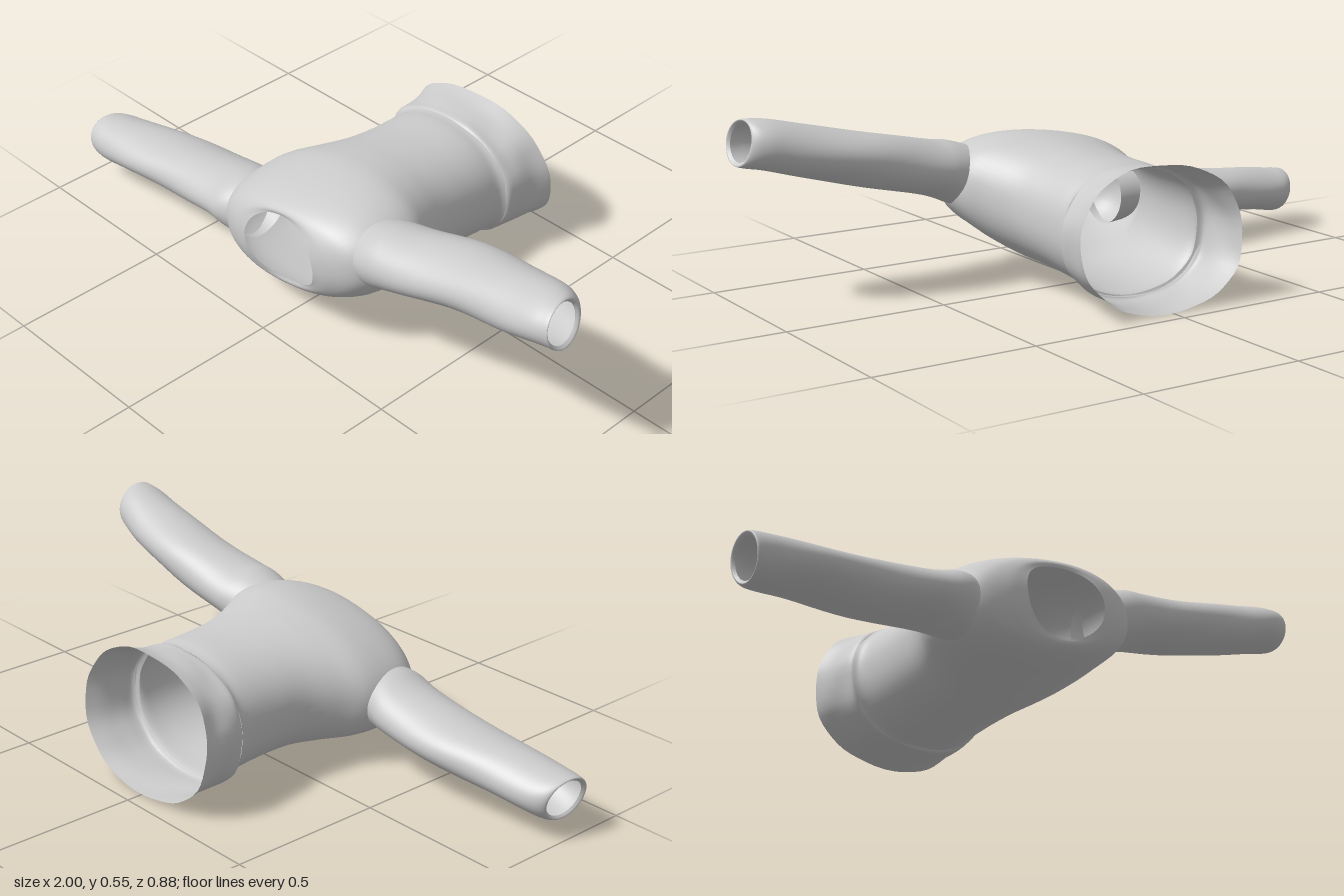
import * as THREE from 'three';

const material = new THREE.MeshStandardMaterial({ color: 0xcccccc, side: THREE.DoubleSide });
const SIDES = 56;

// Smooth interpolation through rows of section values
function sample(rows, t) {
  const f = t * (rows.length - 1);
  const i = Math.min(Math.floor(f), rows.length - 2);
  const u = f - i;
  const row = k => rows[Math.max(0, Math.min(rows.length - 1, k))];
  return rows[i].map((b, c) => {
    const a = row(i - 1)[c], d = row(i + 1)[c], e = row(i + 2)[c];
    return b + 0.5 * u * (d - a + u * (2 * a - 5 * b + 4 * d - e + u * (3 * (b - d) + e - a)));
  });
}

// Open tube: place(section, angle) gives one point of a ring
function loft(name, rows, steps, place) {
  const positions = [], index = [];
  const rings = (rows.length - 1) * steps;
  for (let i = 0; i <= rings; i++) {
    const section = sample(rows, i / rings);
    for (let j = 0; j < SIDES; j++) {
      positions.push(...place(section, (j / SIDES) * Math.PI * 2));
      if (i === rings) continue;
      const a = i * SIDES + j, b = i * SIDES + (j + 1) % SIDES;
      index.push(a, b, a + SIDES, b, b + SIDES, a + SIDES);
    }
  }
  const geometry = new THREE.BufferGeometry();
  geometry.setAttribute('position', new THREE.Float32BufferAttribute(positions, 3));
  geometry.setIndex(index);
  geometry.computeVertexNormals();
  const mesh = new THREE.Mesh(geometry, material);
  mesh.name = name;
  return mesh;
}

const soft = v => Math.sign(v) * Math.abs(v) ** 0.9;

// Torso ring: z, centre x, centre y, half width, half height, roll, z lean, rim dip
function torsoPoint([z, cx, cy, rx, ry, roll, lean, dip], a) {
  const u = rx * soft(Math.cos(a)), v = ry * soft(Math.sin(a));
  const y = u * Math.sin(roll) + v * Math.cos(roll);
  return [
    cx + u * Math.cos(roll) - v * Math.sin(roll),
    cy + y,
    z + lean * y - dip * Math.sin(a) ** 2,
  ];
}

// Hem ring with a slight uneven gather
function hemPoint(section, a) {
  const s = section.slice();
  const gather = 1 + 0.008 * Math.sin(5 * a + s[0] * 40) + 0.005 * Math.sin(11 * a);
  s[3] *= gather;
  s[4] *= gather;
  return torsoPoint(s, a);
}

// Sleeve ring: x, centre y, centre z, half height, half depth, lean
const sleevePoint = side => ([x, cy, cz, ry, rz, lean], a) => {
  const wrinkle = 1 + 0.015 * Math.sin(3 * a + x * 17);
  const y = ry * Math.cos(a) * wrinkle;
  const z = side * rz * Math.sin(a) * wrinkle;
  return [side * x - lean * 0.2 * y + side * lean * 0.1 * z, cy + y, cz + z];
};

export function createModel() {
  const group = new THREE.Group();
  group.name = 'sweater';

  // Torso from waist seam to shoulders and neck opening
  group.add(loft('torso', [
    [-0.265, 0.010, 0.208, 0.252, 0.193, 0.06, 0.04, 0],
    [-0.245, 0.012, 0.212, 0.238, 0.190, 0.07, 0.03, 0],
    [-0.200, 0.015, 0.217, 0.234, 0.190, 0.08, 0, 0],
    [-0.100, 0.016, 0.224, 0.236, 0.186, 0.10, 0, 0],
    [0.000, 0.016, 0.232, 0.248, 0.188, 0.12, 0, 0],
    [0.090, 0.012, 0.240, 0.284, 0.192, 0.15, 0, 0],
    [0.170, 0.005, 0.248, 0.328, 0.189, 0.18, 0, 0],
    [0.250, 0.002, 0.250, 0.340, 0.178, 0.20, 0, 0],
    [0.330, 0.002, 0.248, 0.330, 0.162, 0.20, 0, 0],
    [0.390, 0.003, 0.248, 0.285, 0.142, 0.20, 0, 0.005],
    [0.425, 0.004, 0.249, 0.210, 0.124, 0.20, 0, 0.018],
    [0.436, 0.005, 0.250, 0.148, 0.110, 0.20, 0, 0.030],
  ], 5, torsoPoint));

  // Hem band flaring towards its open end
  group.add(loft('hemBand', [
    [-0.420, 0.015, 0.215, 0.284, 0.212, 0.04, 0.13, 0],
    [-0.370, 0.012, 0.211, 0.270, 0.203, 0.05, 0.11, 0],
    [-0.310, 0.010, 0.208, 0.262, 0.198, 0.05, 0.08, 0],
    [-0.270, 0.010, 0.207, 0.256, 0.197, 0.06, 0.04, 0],
    [-0.257, 0.010, 0.208, 0.236, 0.186, 0.06, 0.04, 0],
  ], 5, hemPoint));

  // Sleeves: the left one is raised, the right one lowered
  const leftRows = [
    [0.250, 0.310, 0.280, 0.098, 0.105, 0],
    [0.320, 0.330, 0.280, 0.098, 0.118, 0],
    [0.400, 0.352, 0.276, 0.085, 0.123, 0.5],
    [0.600, 0.400, 0.263, 0.080, 0.118, 1],
    [0.800, 0.445, 0.280, 0.076, 0.110, 1],
    [0.910, 0.473, 0.295, 0.073, 0.099, 1],
    [0.960, 0.481, 0.304, 0.071, 0.086, 1],
    [0.983, 0.483, 0.314, 0.067, 0.072, 1],
    [0.975, 0.483, 0.316, 0.057, 0.061, 1],
  ];
  const rightRows = [
    [0.250, 0.195, 0.280, 0.098, 0.105, 0],
    [0.320, 0.200, 0.278, 0.092, 0.118, 0],
    [0.400, 0.192, 0.265, 0.077, 0.122, 0.5],
    [0.600, 0.163, 0.260, 0.073, 0.118, 1],
    [0.800, 0.145, 0.274, 0.068, 0.108, 1],
    [0.910, 0.129, 0.281, 0.070, 0.098, 1],
    [0.960, 0.123, 0.284, 0.071, 0.088, 1],
    [0.983, 0.122, 0.288, 0.067, 0.076, 1],
    [0.975, 0.122, 0.288, 0.057, 0.064, 1],
  ];
  group.add(loft('leftSleeve', leftRows, 5, sleevePoint(1)));
  group.add(loft('rightSleeve', rightRows, 5, sleevePoint(-1)));
  return group;
}
